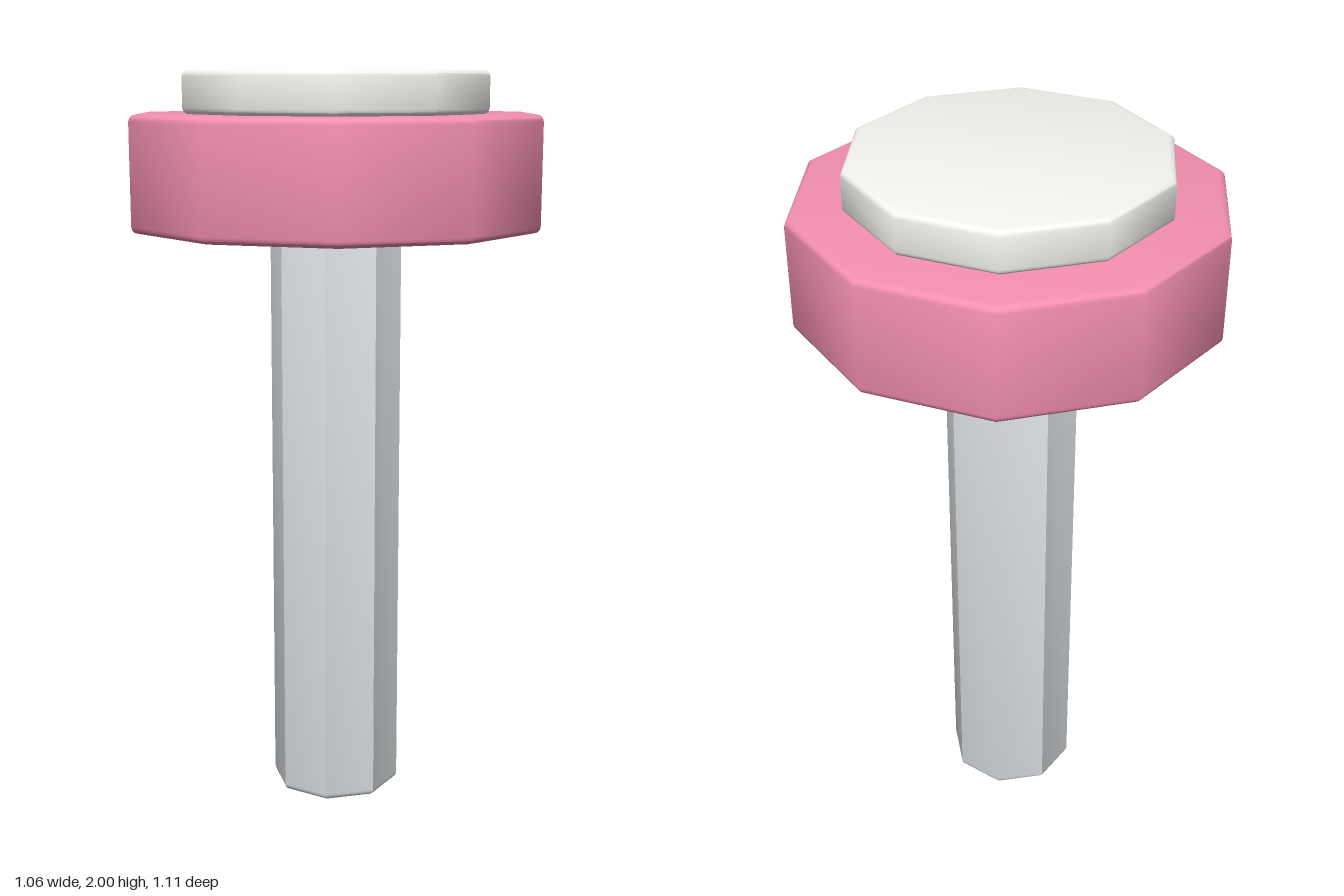
import * as THREE from 'three';
import { toCreasedNormals } from 'three/addons/utils/BufferGeometryUtils.js';

// Upright polygonal prism with rounded rims, one corner facing +z
function roundedPrism(name, sides, radius, bottom, top, bevel, color, crease) {
  const points = [new THREE.Vector2(0, bottom)];
  const steps = 3;
  const rim = (y, from) => {
    for (let i = 0; i <= steps; i++) {
      const a = from + (i / steps) * Math.PI / 2;
      points.push(new THREE.Vector2(radius - bevel + Math.cos(a) * bevel, y + Math.sin(a) * bevel));
    }
  };
  rim(bottom + bevel, -Math.PI / 2);
  rim(top - bevel, 0);
  points.push(new THREE.Vector2(0, top));
  const geometry = toCreasedNormals(new THREE.LatheGeometry(points, sides), crease);
  const mesh = new THREE.Mesh(geometry, new THREE.MeshStandardMaterial({ color }));
  mesh.name = name;
  return mesh;
}

export function createModel() {
  const model = new THREE.Group();
  model.name = 'mallet';
  const smooth = THREE.MathUtils.degToRad(40);
  model.add(
    // Octagonal shaft with crisp edges
    roundedPrism('shaft', 8, 0.178, 0, 1.62, 0.018, 0xdde1e4, smooth),
    // Ten-sided head
    roundedPrism('head', 10, 0.556, 1.588, 1.89, 0.018, 0xf48fb1, smooth),
    // Pale disc on top of the head
    roundedPrism('topDisc', 10, 0.415, 1.89, 2, 0.016, 0xf5f5f0, smooth)
  );
  return model;
}
